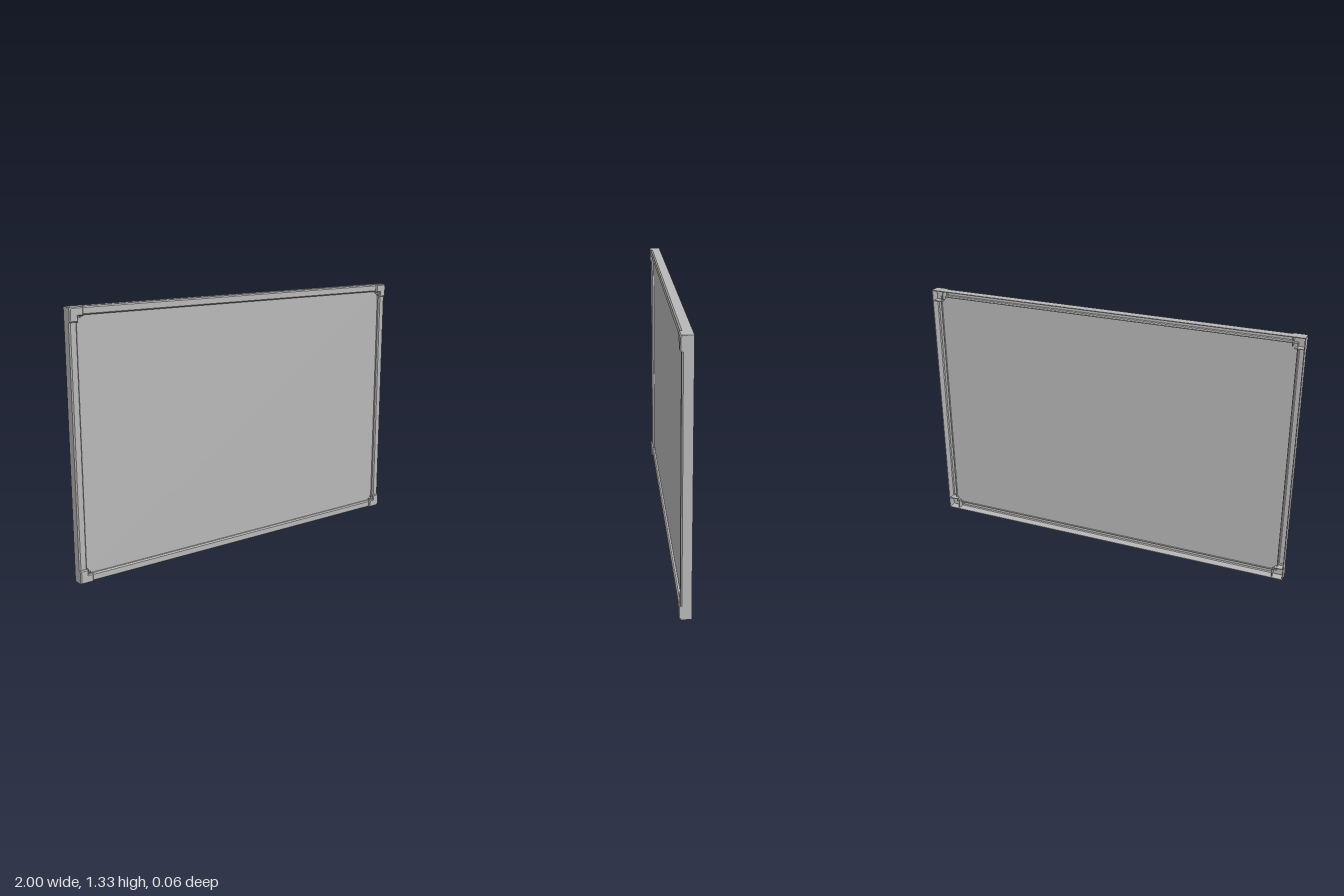
import * as THREE from 'three';

const W = 2, H = 1.333;      // outer size
const BACK = -0.03;          // rear edge of the frame
const WALL = 0.004;          // sheet thickness of frame parts
const RAIL = 0.04;           // rail width
const ARM = 0.07;            // length of a corner piece arm

const toShape = (pts) => new THREE.Shape(pts.map(([x, y]) => new THREE.Vector2(x, y)));

export function createModel() {
  const group = new THREE.Group();
  const grey = new THREE.MeshStandardMaterial({ color: 0xb8b8b8 });
  grey.name = 'frame grey';

  const add = (parent, name, geometry, x = 0, y = 0, z = 0) => {
    const mesh = new THREE.Mesh(geometry, grey);
    mesh.name = name;
    mesh.position.set(x, y, z);
    parent.add(mesh);
    return mesh;
  };
  // box given by its minimum and maximum corners
  const addBox = (parent, name, a, b) => add(parent, name,
    new THREE.BoxGeometry(b[0] - a[0], b[1] - a[1], b[2] - a[2]),
    (a[0] + b[0]) / 2, (a[1] + b[1]) / 2, (a[2] + b[2]) / 2);

  // writing surface
  addBox(group, 'panel', [-0.962, 0.038, 0.001], [0.962, H - 0.038, 0.006]);

  // hollow rail section: x runs inward from the outer edge, y runs to the front
  const railShape = toShape([
    [0, BACK], [WALL, BACK], [WALL, 0.013], [0.009, 0.018],
    [0.032, 0.018], [0.036, 0.013], [0.036, -0.006], [RAIL, -0.006],
    [RAIL, 0.015], [0.034, 0.022], [0.006, 0.022], [0, 0.015],
  ]);
  const addRail = (name, length, x, y, inward) => {
    const geo = new THREE.ExtrudeGeometry(railShape, { depth: length, bevelEnabled: false });
    geo.translate(0, 0, -length / 2);
    const front = new THREE.Vector3(0, 0, 1);
    const along = new THREE.Vector3().crossVectors(inward, front);
    geo.applyMatrix4(new THREE.Matrix4().makeBasis(inward, front, along));
    add(group, name, geo, x, y, 0);
  };
  const longRail = W - 0.12, shortRail = H - 0.12;
  addRail('bottomRail', longRail, 0, 0, new THREE.Vector3(0, 1, 0));
  addRail('topRail', longRail, 0, H, new THREE.Vector3(0, -1, 0));
  addRail('rightRail', shortRail, -W / 2, H / 2, new THREE.Vector3(1, 0, 0));
  addRail('leftRail', shortRail, W / 2, H / 2, new THREE.Vector3(-1, 0, 0));

  // corner cap: bevelled L with a cut outer corner
  const inner = 0.043, cut = 0.008, bevel = 0.005;
  const capGeo = new THREE.ExtrudeGeometry(
    toShape([[cut, 0], [ARM, 0], [ARM, inner], [inner, inner], [inner, ARM], [0, ARM], [0, cut]]),
    { depth: 0.008, bevelEnabled: true, bevelSegments: 1, bevelSize: bevel, bevelThickness: bevel, bevelOffset: -bevel });

  const addCorner = (name, x, y, turn) => {
    const corner = new THREE.Group();
    corner.name = name;
    add(corner, 'cornerCap', capGeo, 0, 0, 0.017);
    // outer walls behind the cap
    addBox(corner, 'cornerWall', [0, 0, BACK], [ARM, WALL, 0.022]);
    addBox(corner, 'cornerWall', [0, WALL, BACK], [WALL, ARM, 0.022]);
    // inner lips closing the channel
    addBox(corner, 'cornerLip', [0.037, 0.037, -0.006], [0.06, RAIL, 0.02]);
    addBox(corner, 'cornerLip', [0.037, RAIL, -0.006], [RAIL, 0.06, 0.02]);
    // cross ribs at the ends of the arms
    addBox(corner, 'cornerRib', [0.058, WALL, -0.022], [0.062, 0.05, 0.018]);
    addBox(corner, 'cornerRib', [WALL, 0.058, -0.022], [0.05, 0.062, 0.018]);
    corner.position.set(x, y, 0);
    corner.rotation.z = turn * Math.PI / 2;
    group.add(corner);
  };
  addCorner('bottomRightCorner', -W / 2, 0, 0);
  addCorner('bottomLeftCorner', W / 2, 0, 1);
  addCorner('topLeftCorner', W / 2, H, 2);
  addCorner('topRightCorner', -W / 2, H, 3);

  return group;
}
